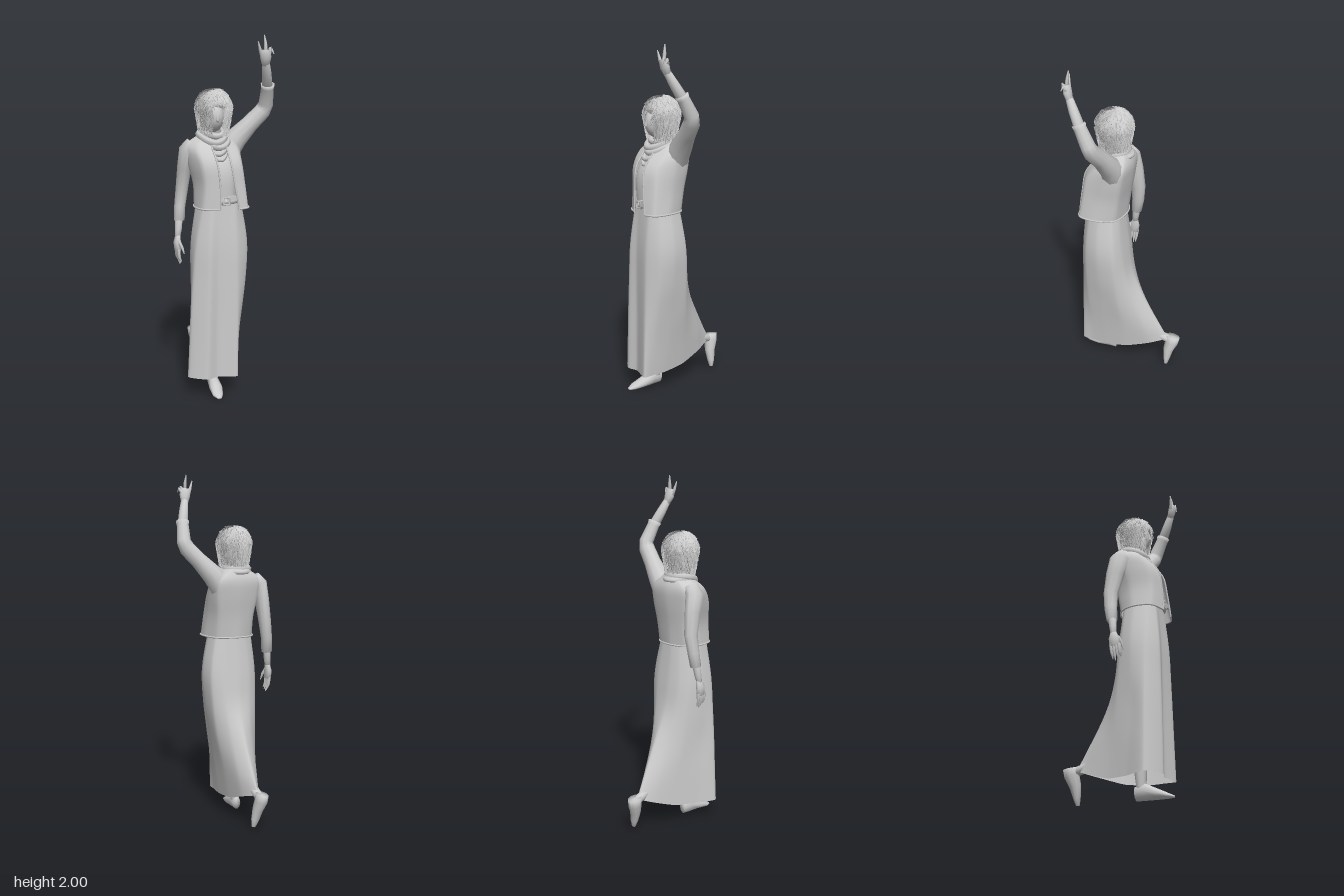
import * as THREE from 'three';

const V = (x, y, z) => new THREE.Vector3(x, y, z);
const grey = new THREE.MeshStandardMaterial({ color: 0xcccccc, side: THREE.DoubleSide });

let seed = 7;
const rand = () => (seed = (seed * 16807) % 2147483647) / 2147483647;

// Skin a stack of rings, each an equal-length list of Vector3
function skin(rings, closed = true) {
  const n = rings[0].length, index = [];
  for (let j = 0; j < rings.length - 1; j++)
    for (let i = 0; i < (closed ? n : n - 1); i++) {
      const a = j * n + i, b = j * n + (i + 1) % n;
      index.push(a, b, b + n, a, b + n, a + n);
    }
  const g = new THREE.BufferGeometry().setFromPoints(rings.flat());
  g.setIndex(index);
  g.computeVertexNormals();
  return g;
}

// Smooth cloth surface through a few cross-sections: [x, y, z] per corner
function cloth(sections, across, up, closed = true) {
  const cols = sections[0].map((_, i) =>
    new THREE.CatmullRomCurve3(sections.map(s => V(...s[i])), false, 'centripetal').getPoints(up));
  const rings = [];
  for (let j = 0; j <= up; j++) {
    const c = new THREE.CatmullRomCurve3(cols.map(p => p[j]), closed, 'catmullrom', 0.3);
    const pts = [];
    for (let i = 0; i < (closed ? across : across + 1); i++) pts.push(c.getPoint(i / across));
    rings.push(pts);
  }
  return skin(rings, closed);
}

// Limb with closed ends: points are [x, y, z, radius across x, other radius]
function limb(pts, sides = 10) {
  const c = pts.map(p => V(p[0], p[1], p[2]));
  const rings = c.map((p, k) => {
    const t = c[Math.min(k + 1, c.length - 1)].clone().sub(c[Math.max(k - 1, 0)]).normalize();
    const n = V(1, 0, 0).addScaledVector(t, -t.x).normalize();
    const b = t.clone().cross(n);
    const [ra, rb = ra] = pts[k].slice(3);
    return Array.from({ length: sides }, (_, i) => {
      const a = i / sides * Math.PI * 2;
      return p.clone().addScaledVector(n, ra * Math.cos(a)).addScaledVector(b, rb * Math.sin(a));
    });
  });
  rings.unshift(rings[0].map(() => c[0].clone()));
  rings.push(rings.at(-1).map(() => c.at(-1).clone()));
  return skin(rings);
}

const tube = (pts, r, closed = false, seg = 24) => new THREE.TubeGeometry(
  new THREE.CatmullRomCurve3(pts.map(p => V(...p)), closed), seg, r, 6, closed);

// Hair envelope: angle a from the front, s from crown (0) to tips (1)
function hairPoint(a, s, k = 1) {
  const y = s < 0.6 ? 1.605 + 0.108 * Math.cos(s / 0.6 * Math.PI / 2) : 1.605 - (s - 0.6) * 0.31;
  const r = (s < 0.6 ? Math.sin(s / 0.6 * Math.PI / 2) : 1 - (s - 0.6) * 0.55) * k;
  return V(-0.057 + 0.1 * r * Math.sin(a), 1.6 + (y - 1.6) * k, 0.102 + 0.106 * r * Math.cos(a));
}
const overFace = (a, s) => Math.cos(a) > 0.9 && s > 0.52;

// Loose tapering locks lying over the envelope
function strands(count) {
  const pos = [];
  for (let i = 0; i < count; i++) {
    const a = rand() * Math.PI * 2, s = Math.sqrt(rand()) * 0.88, len = 0.12 + rand() * 0.18;
    const turn = (rand() - 0.5) * 0.6, w = 0.015 + rand() * 0.035, lift = 0.93 + rand() * 0.09;
    if (overFace(a, s + len * 0.7)) continue;
    const row = [0, 0.5, 1].map(t => [-1, 1].map(e => {
      const q = Math.min(s + len * t, 1.06);
      return hairPoint(a + turn * t + e * w * (1 - t * 0.95) / Math.max(q, 0.3),
        q, lift + t * 0.055 + e * 0.015);
    }));
    for (let k = 0; k < 2; k++) {
      const [p, q] = row[k], [u, v] = row[k + 1];
      for (const c of [p, u, q, q, u, v]) pos.push(c.x, c.y, c.z);
    }
  }
  const g = new THREE.BufferGeometry();
  g.setAttribute('position', new THREE.Float32BufferAttribute(pos, 3));
  g.computeVertexNormals();
  return g;
}

export function createModel() {
  const model = new THREE.Group();
  const add = (name, g) => {
    const m = new THREE.Mesh(g, grey);
    m.name = name;
    model.add(m);
    return m;
  };
  const at = (y, pts) => pts.map(([x, z]) => [x, y, z]);

  // Long skirt trailing over the rear leg
  const hem = [[0.025, 0.115, 0.14], [0.02, 0.13, 0.01], [0, 0.175, -0.13], [-0.05, 0.21, -0.245],
    [-0.1, 0.17, -0.15], [-0.145, 0.125, -0.02], [-0.195, 0.115, 0.1], [-0.25, 0.115, 0.215],
    [-0.16, 0.115, 0.285], [-0.09, 0.115, 0.268], [0.015, 0.115, 0.297], [0.022, 0.115, 0.23]];
  add('skirt', cloth([
    hem,
    at(0.3, [[0.05, 0.14], [0.045, 0.02], [0.015, -0.11], [-0.045, -0.195], [-0.1, -0.12], [-0.15, 0],
      [-0.2, 0.115], [-0.24, 0.215], [-0.155, 0.283], [-0.088, 0.267], [0.016, 0.292], [0.04, 0.23]]),
    at(0.5, [[0.08, 0.145], [0.08, 0.04], [0.03, -0.045], [-0.035, -0.092], [-0.1, -0.05], [-0.16, 0.025],
      [-0.2, 0.13], [-0.23, 0.215], [-0.15, 0.28], [-0.086, 0.266], [0.017, 0.287], [0.065, 0.235]]),
    at(0.68, [[0.108, 0.15], [0.1, 0.05], [0.04, 0], [-0.04, -0.015], [-0.11, 0], [-0.165, 0.04],
      [-0.205, 0.13], [-0.217, 0.215], [-0.145, 0.276], [-0.085, 0.266], [0.018, 0.282], [0.085, 0.235]]),
    at(0.87, [[0.12, 0.15], [0.105, 0.06], [0.045, 0.025], [-0.05, 0.012], [-0.12, 0.025], [-0.17, 0.06],
      [-0.203, 0.13], [-0.2, 0.215], [-0.14, 0.27], [-0.083, 0.264], [0.018, 0.275], [0.092, 0.23]]),
    at(1.11, [[0.08, 0.15], [0.065, 0.08], [0.02, 0.05], [-0.05, 0.04], [-0.1, 0.05], [-0.15, 0.08],
      [-0.17, 0.14], [-0.155, 0.21], [-0.12, 0.245], [-0.08, 0.25], [0.015, 0.25], [0.06, 0.21]]),
  ], 72, 24));

  // Blouse and belt
  add('blouse', cloth([
    at(1.08, [[0.07, 0.15], [-0.05, 0.05], [-0.165, 0.14], [-0.1, 0.245], [0, 0.245]]),
    at(1.3, [[0.07, 0.12], [-0.05, 0.03], [-0.18, 0.11], [-0.11, 0.235], [0, 0.235]]),
    at(1.45, [[0, 0.08], [-0.05, 0.03], [-0.11, 0.08], [-0.08, 0.13], [-0.04, 0.13]]),
  ], 24, 8));
  add('belt', tube(at(1.115, [[0.07, 0.15], [-0.05, 0.05], [-0.16, 0.14], [-0.1, 0.25], [0.01, 0.25]]), 0.016, true, 40));
  const buckle = add('buckle', new THREE.TorusGeometry(0.026, 0.007, 6, 4));
  buckle.geometry.rotateZ(Math.PI / 4);
  buckle.position.set(-0.045, 1.12, 0.275);
  const tail = add('beltEnd', new THREE.BoxGeometry(0.055, 0.025, 0.012));
  tail.position.set(-0.01, 1.135, 0.272);

  // Short open jacket, from its left front edge round the back to the right one
  const jacket = [
    at(1.075, [[0.025, 0.288], [0.085, 0.265], [0.102, 0.17], [0.065, 0.06], [-0.05, 0.025], [-0.14, 0.05],
      [-0.182, 0.13], [-0.165, 0.235], [-0.08, 0.28]]),
    at(1.2, [[0.005, 0.277], [0.075, 0.245], [0.092, 0.14], [0.065, 0.04], [-0.05, 0.012], [-0.145, 0.03],
      [-0.183, 0.12], [-0.155, 0.235], [-0.08, 0.275]]),
    at(1.32, [[-0.012, 0.258], [0.06, 0.225], [0.095, 0.12], [0.075, 0.02], [-0.05, -0.007], [-0.165, 0.015],
      [-0.208, 0.1], [-0.168, 0.22], [-0.09, 0.258]]),
    at(1.405, [[-0.015, 0.195], [0.05, 0.16], [0.09, 0.09], [0.065, 0.008], [-0.05, -0.012], [-0.165, 0.008],
      [-0.215, 0.08], [-0.175, 0.165], [-0.1, 0.195]]),
    at(1.47, [[-0.01, 0.13], [0.01, 0.11], [0.025, 0.08], [0, 0.025], [-0.05, 0.01], [-0.1, 0.025],
      [-0.12, 0.08], [-0.11, 0.11], [-0.09, 0.13]]),
  ];
  add('jacket', cloth(jacket, 40, 16, false));
  add('jacketHem', tube(jacket[0], 0.005, false, 40));
  add('jacketLeftEdge', tube(jacket.slice(0, 4).map(r => r[0]), 0.005));
  add('jacketRightEdge', tube(jacket.slice(0, 4).map(r => r.at(-1)), 0.005));

  // Raised left arm, its wide armhole running down into the jacket
  add('leftSleeve', limb([[0.01, 1.28, 0.08, 0.05, 0.06], [0.035, 1.36, 0.075, 0.066, 0.07],
    [0.085, 1.435, 0.08, 0.062, 0.062], [0.16, 1.515, 0.1, 0.048], [0.225, 1.585, 0.12, 0.046],
    [0.24, 1.625, 0.132, 0.041], [0.228, 1.715, 0.178, 0.035], [0.225, 1.735, 0.187, 0.039]]));
  add('leftForearm', limb([[0.228, 1.71, 0.177, 0.031], [0.205, 1.79, 0.22, 0.027], [0.187, 1.85, 0.25, 0.021]]));
  add('leftPalm', limb([[0.187, 1.84, 0.248, 0.021, 0.018], [0.18, 1.88, 0.262, 0.032, 0.022],
    [0.175, 1.92, 0.268, 0.03, 0.018]]));
  const finger = (name, a, b, c) => add(name, limb([[...a, 0.011], [...b, 0.009], [...c, 0.003]], 6));
  finger('leftIndex', [0.178, 1.91, 0.266], [0.178, 1.955, 0.262], [0.173, 1.998, 0.256]);
  finger('leftThumb', [0.16, 1.88, 0.262], [0.145, 1.92, 0.268], [0.131, 1.965, 0.272]);
  finger('leftMiddle', [0.19, 1.91, 0.265], [0.197, 1.93, 0.28], [0.192, 1.895, 0.288]);
  finger('leftLittle', [0.2, 1.9, 0.26], [0.213, 1.92, 0.272], [0.218, 1.9, 0.282]);

  // Lowered right arm
  add('rightSleeve', limb([[-0.165, 1.415, 0.07, 0.04, 0.05], [-0.198, 1.375, 0.065, 0.045, 0.062],
    [-0.208, 1.28, 0.04, 0.038, 0.054], [-0.216, 1.16, 0.018, 0.035, 0.042],
    [-0.231, 1.06, 0.024, 0.032, 0.036], [-0.238, 0.98, 0.035, 0.032, 0.03]]));
  add('rightForearm', limb([[-0.24, 1, 0.035, 0.023], [-0.247, 0.93, 0.045, 0.02], [-0.253, 0.89, 0.05, 0.016]]));
  add('rightPalm', limb([[-0.25, 0.9, 0.048, 0.015, 0.017], [-0.258, 0.86, 0.055, 0.02, 0.03],
    [-0.256, 0.815, 0.06, 0.018, 0.03]]));
  for (let i = 0; i < 4; i++) {
    const z = 0.038 + i * 0.015;
    finger('rightFinger', [-0.258, 0.825, z], [-0.256, 0.78, z + 0.004], [-0.243, 0.735 + Math.abs(i - 1) * 0.01, z + 0.006]);
  }
  finger('rightThumb', [-0.255, 0.87, 0.075], [-0.24, 0.835, 0.092], [-0.23, 0.8, 0.098]);

  // Legs and shoes
  add('rightLeg', limb([[-0.08, 0.8, 0.14, 0.06], [-0.08, 0.45, 0.15, 0.045], [-0.08, 0.25, 0.13, 0.04],
    [-0.08, 0.06, 0.14, 0.025]]));
  add('rightShoe', limb([[-0.08, 0.045, 0.108, 0.022, 0.038], [-0.085, 0.05, 0.16, 0.03, 0.045],
    [-0.09, 0.032, 0.23, 0.038, 0.028], [-0.1, 0.016, 0.29, 0.03, 0.014], [-0.1, 0.009, 0.322, 0.012, 0.006]]));
  add('leftLeg', limb([[-0.02, 0.8, 0.13, 0.06], [-0.03, 0.46, 0.06, 0.045], [-0.045, 0.28, -0.09, 0.038],
    [-0.052, 0.22, -0.2, 0.026], [-0.055, 0.2, -0.26, 0.026]]));
  add('leftShoe', limb([[-0.06, 0.225, -0.272, 0.034, 0.046], [-0.055, 0.185, -0.268, 0.036, 0.042],
    [-0.042, 0.13, -0.252, 0.03, 0.032], [-0.028, 0.07, -0.248, 0.024, 0.02], [-0.02, 0.03, -0.245, 0.012, 0.01]]));

  // Head and neck
  add('neck', limb([[-0.055, 1.4, 0.075, 0.045], [-0.06, 1.54, 0.11, 0.038]]));
  const face = add('face', new THREE.SphereGeometry(1, 20, 14));
  face.scale.set(0.055, 0.085, 0.075);
  face.position.set(-0.068, 1.565, 0.128);
  add('nose', limb([[-0.068, 1.585, 0.196, 0.005], [-0.069, 1.552, 0.204, 0.009], [-0.069, 1.544, 0.198, 0.008]], 6));

  // Shaggy bob: inner cap recessed round the face, covered in loose locks
  const cap = [];
  for (let j = 0; j <= 14; j++)
    cap.push(Array.from({ length: 32 }, (_, i) => {
      const a = i / 32 * Math.PI * 2, s = 1 - j / 14;
      return hairPoint(a, s, overFace(a, s) ? 0.7 : 0.92);
    }));
  add('hairCap', skin(cap));
  add('hairLocks', strands(2600));

  // Draped scarf: [half width, half depth, front height, back height, thickness, sideways slip]
  for (const [rx, rz, yf, yb, r, slip] of [[0.062, 0.07, 1.46, 1.485, 0.017, 0], [0.078, 0.088, 1.425, 1.47, 0.02, -0.01],
    [0.082, 0.098, 1.4, 1.455, 0.018, 0.008], [0.08, 0.115, 1.365, 1.45, 0.015, -0.006],
    [0.07, 0.13, 1.335, 1.45, 0.012, 0]]) {
    const pts = Array.from({ length: 12 }, (_, i) => {
      const a = i / 12 * Math.PI * 2, f = (1 + Math.sin(a)) / 2;
      return [-0.06 + slip * f + rx * Math.cos(a) * (1 - 0.15 * f),
        yb + (yf - yb) * f ** 2.5, 0.095 + rz * Math.sin(a) * (f > 0.5 ? 1 : 0.75)];
    });
    add('scarfFold', tube(pts, r, true, 36));
  }
  return model;
}
